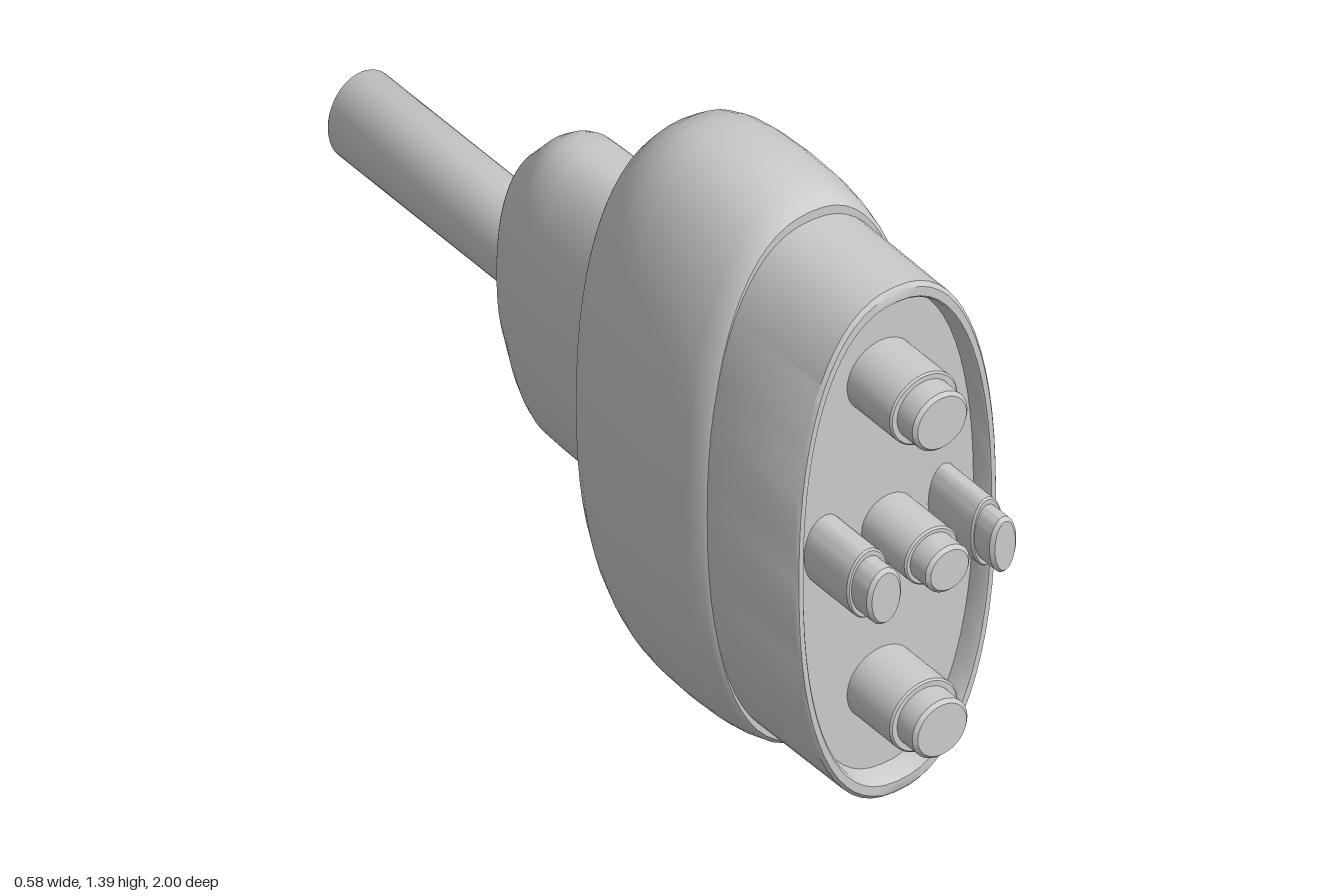
import * as THREE from 'three';
import { toCreasedNormals } from 'three/addons/utils/BufferGeometryUtils.js';

const CY = 0.695;
const material = new THREE.MeshStandardMaterial({ color: 0xcccccc });

// Skins oval cross-sections [z, halfWidth, halfHeight] along the z axis.
// power 2 is a plain ellipse, higher values have flatter sides.
function loft(name, sections, x = 0, y = CY, power = 2, segments = 64) {
  const positions = [];
  const index = [];
  const round = (v) => Math.sign(v) * Math.pow(Math.abs(v), 2 / power);
  for (const [z, hx, hy] of sections) {
    for (let i = 0; i < segments; i++) {
      const a = (i / segments) * Math.PI * 2;
      positions.push(hx * round(Math.cos(a)), hy * round(Math.sin(a)), z);
    }
  }
  for (let k = 0; k < sections.length - 1; k++) {
    for (let i = 0; i < segments; i++) {
      const j = (i + 1) % segments;
      const a = k * segments + i, b = k * segments + j;
      const c = a + segments, d = b + segments;
      if (sections[k][1] > 0) index.push(a, c, b);
      if (sections[k + 1][1] > 0) index.push(b, c, d);
    }
  }
  const geometry = new THREE.BufferGeometry();
  geometry.setAttribute('position', new THREE.Float32BufferAttribute(positions, 3));
  geometry.setIndex(index);
  const mesh = new THREE.Mesh(toCreasedNormals(geometry, 0.68), material);
  mesh.name = name;
  mesh.position.set(x, y, 0);
  return mesh;
}

// Stepped contact pin with a slightly bevelled tip
function pin(name, x, y, rx, ry, tx, ty) {
  return loft(name, [
    [1, 0, 0], [1, tx - 0.008, ty - 0.008], [0.992, tx, ty],
    [0.94, tx, ty], [0.94, rx - 0.004, ry - 0.004], [0.936, rx, ry],
    [0.78, rx, ry], [0.78, 0, 0],
  ], x, y, 2, 40);
}

export function createModel() {
  const group = new THREE.Group();
  group.name = 'plugConnector';

  // Front shell with a shallow recess inside a thin rim
  group.add(loft('frontShell', [
    [0.79, 0, 0], [0.79, 0.23, 0.59], [0.835, 0.235, 0.6], [0.84, 0.239, 0.605],
    [0.84, 0.25, 0.628], [0.832, 0.256, 0.638], [0.54, 0.263, 0.638], [0.5, 0.263, 0.638],
  ], 0, CY, 2.3));

  // Rounded main housing
  group.add(loft('housing', [
    [0.545, 0, 0], [0.545, 0.261, 0.66], [0.535, 0.27, 0.671], [0.49, 0.279, 0.683],
    [0.43, 0.286, 0.692], [0.34, 0.288, 0.695], [0.25, 0.284, 0.692], [0.19, 0.277, 0.683],
    [0.14, 0.267, 0.664], [0.1, 0.257, 0.633], [0.065, 0.242, 0.592], [0.053, 0.232, 0.575],
    [0.053, 0, 0],
  ], 0, CY, 2.3));

  // Tapered boot where the cable leaves the housing
  group.add(loft('cableBoot', [
    [0.07, 0.157, 0.388], [-0.2, 0.156, 0.38], [-0.26, 0.154, 0.377], [-0.29, 0.148, 0.364],
    [-0.32, 0.138, 0.342], [-0.39, 0.107, 0.265], [-0.397, 0.102, 0.255], [-0.397, 0, 0],
  ], 0, 0.697, 2.3));

  // Cable
  group.add(loft('cable', [
    [-0.38, 0.086, 0.107], [-0.995, 0.086, 0.107], [-1, 0.083, 0.104], [-1, 0, 0],
  ], -0.001, 0.698, 2, 40));

  // Contact pins
  group.add(pin('topPin', -0.005, 1.09, 0.086, 0.086, 0.07, 0.07));
  group.add(pin('bottomPin', -0.005, 0.315, 0.086, 0.086, 0.07, 0.07));
  group.add(pin('centrePin', 0.014, 0.71, 0.068, 0.068, 0.056, 0.056));
  group.add(pin('rightPin', -0.147, 0.71, 0.053, 0.085, 0.044, 0.069));
  group.add(pin('leftPin', 0.155, 0.71, 0.04, 0.085, 0.034, 0.069));

  return group;
}
